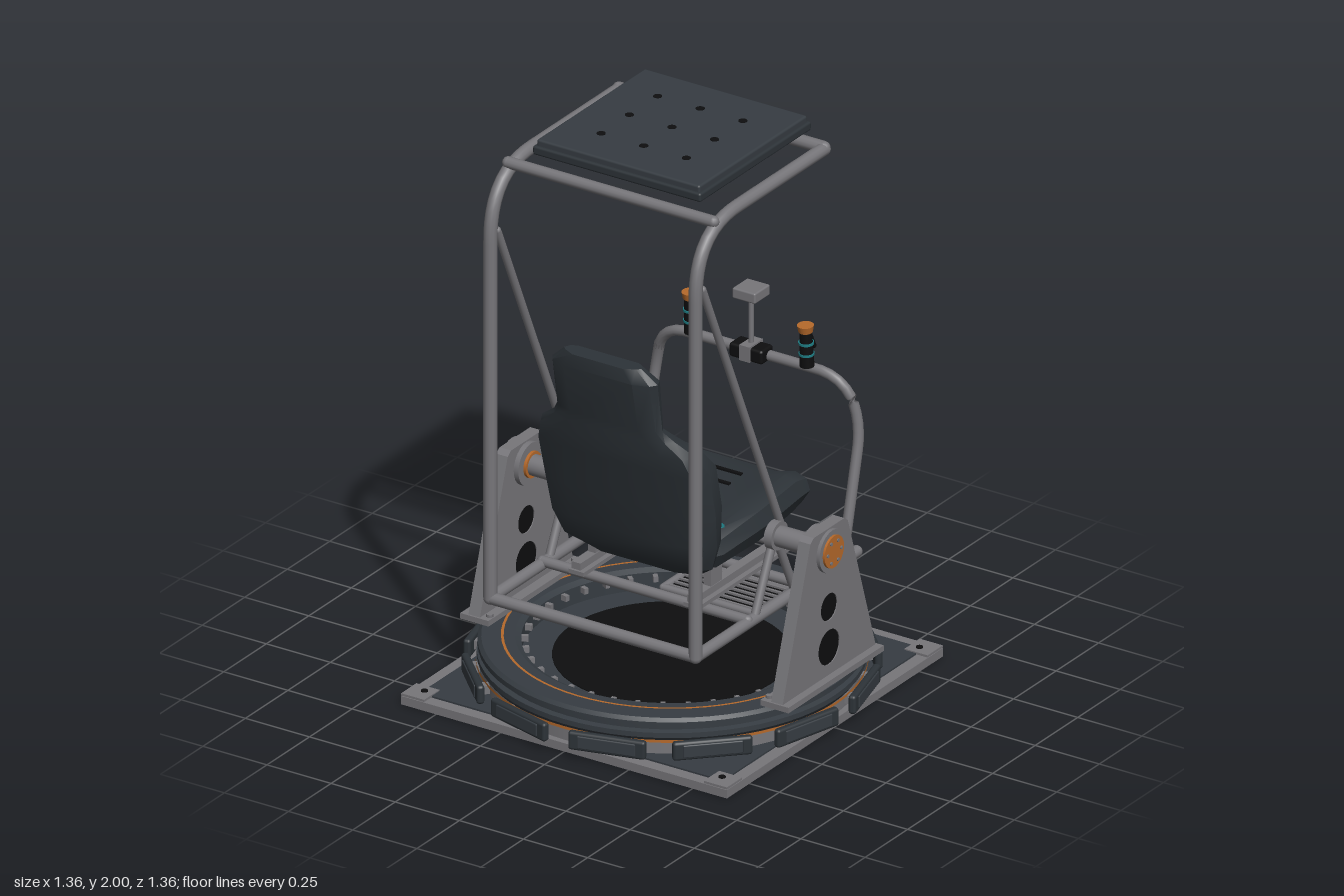
import * as THREE from 'three';
import { toCreasedNormals } from 'three/addons/utils/BufferGeometryUtils.js';
import { RoundedBoxGeometry } from 'three/addons/geometries/RoundedBoxGeometry.js';

const mat = (name, color) => Object.assign(new THREE.MeshStandardMaterial({ color }), { name });
const V = (x, y, z) => new THREE.Vector3(x, y, z);

export function createModel() {
  const steel = mat('steel grey', 0x77767a), dark = mat('dark slate', 0x363c42), seatM = mat('seat charcoal', 0x2d3338);
  const orange = mat('orange', 0xb5692b), teal = mat('teal', 0x1f7f86), black = mat('black', 0x0e0e0f);
  const root = new THREE.Group();
  root.name = 'motionSimulator';

  const add = (name, geo, m, x = 0, y = 0, z = 0, parent = root) => {
    const mesh = new THREE.Mesh(geo, m);
    mesh.name = name;
    mesh.position.set(x, y, z);
    parent.add(mesh);
    return mesh;
  };
  const box = (name, m, w, h, d, x, y, z) => add(name, new THREE.BoxGeometry(w, h, d), m, x, y, z);
  const rbox = (name, m, w, h, d, x, y, z, r = 0.01) => add(name, new RoundedBoxGeometry(w, h, d, 2, r), m, x, y, z);
  const cyl = (name, m, r, h, x, y, z, n = 24) => add(name, new THREE.CylinderGeometry(r, r, h, n), m, x, y, z);
  const cylX = (name, m, r, h, x, y, z) => { const c = cyl(name, m, r, h, x, y, z); c.rotation.z = Math.PI / 2; return c; };

  // Tube along a polyline with rounded corners and closed ends
  const tube = (name, pts, r, bend = 0, m = steel) => {
    const path = new THREE.CurvePath();
    let prev = pts[0];
    for (let i = 1; i < pts.length; i++) {
      const p = pts[i];
      if (i === pts.length - 1 || !bend) { path.add(new THREE.LineCurve3(prev, p)); prev = p; continue; }
      const a = p.clone().add(pts[i - 1].clone().sub(p).setLength(bend));
      const b = p.clone().add(pts[i + 1].clone().sub(p).setLength(bend));
      path.add(new THREE.LineCurve3(prev, a));
      path.add(new THREE.QuadraticBezierCurve3(a, p, b));
      prev = b;
    }
    add(name, new THREE.TubeGeometry(path, pts.length > 2 ? 60 : 1, r, 12), m);
    for (const p of [pts[0], pts[pts.length - 1]]) add(name + 'End', new THREE.SphereGeometry(r, 12, 8), m, p.x, p.y, p.z);
  };

  // Closed skin through equal-length cross-sections
  const loft = (rings) => {
    const n = rings[0].length, pos = [], idx = [];
    rings.forEach((r) => r.forEach((p) => pos.push(...p)));
    for (let i = 0; i < rings.length - 1; i++) for (let j = 0; j < n; j++) {
      const a = i * n + j, b = i * n + (j + 1) % n;
      idx.push(a, b, b + n, a, b + n, a + n);
    }
    const cap = (row, flip) => {
      const c = pos.length / 3, s = row * n;
      pos.push(...[0, 1, 2].map((k) => rings[row].reduce((t, p) => t + p[k], 0) / n));
      for (let j = 0; j < n; j++) { const a = s + j, b = s + (j + 1) % n; idx.push(c, flip ? b : a, flip ? a : b); }
    };
    cap(0, true);
    cap(rings.length - 1, false);
    const g = new THREE.BufferGeometry();
    g.setAttribute('position', new THREE.Float32BufferAttribute(pos, 3));
    g.setIndex(idx);
    g.computeVertexNormals();
    return toCreasedNormals(g, 0.6);
  };

  // Base plate with dark inlay, corner plates and bolts
  box('basePlate', steel, 1.27, 0.03, 1.27, 0, 0.016, 0);
  box('baseInlay', dark, 1.18, 0.006, 1.18, 0, 0.034, 0);
  box('baseUnderside', dark, 1.26, 0.003, 1.26, 0, 0.0015, 0);
  for (const x of [-1, 1]) for (const z of [-1, 1]) {
    box('cornerPlate', steel, 0.09, 0.008, 0.09, x * 0.59, 0.037, z * 0.59);
    cyl('cornerBolt', black, 0.012, 0.006, x * 0.58, 0.042, z * 0.58, 12);
  }
  rbox('controlBox', seatM, 0.11, 0.06, 0.07, -0.505, 0.065, -0.51, 0.008);
  box('controlBoxLight', teal, 0.05, 0.008, 0.012, -0.505, 0.08, -0.547);

  // Turntable ring with recessed floor
  cyl('drum', steel, 0.62, 0.05, 0, 0.06, 0, 72);
  const prof = [[0.49, 0.08], [0.62, 0.08], [0.635, 0.1], [0.635, 0.118], [0.615, 0.122], [0.615, 0.132], [0.632, 0.137],
    [0.632, 0.155], [0.62, 0.166], [0.51, 0.166], [0.49, 0.155], [0.49, 0.08]];
  add('turntableRing', toCreasedNormals(new THREE.LatheGeometry(prof.map((p) => new THREE.Vector2(...p)), 72), 0.5), dark);
  cyl('recessFloor', dark, 0.495, 0.01, 0, 0.09, 0, 48);
  cyl('recessCentre', black, 0.39, 0.008, 0, 0.094, 0, 48);
  add('topStripe', new THREE.RingGeometry(0.547, 0.556, 72), orange, 0, 0.168, 0).rotation.x = -Math.PI / 2;
  add('sideStripe', new THREE.CylinderGeometry(0.639, 0.639, 0.01, 72, 1, true), orange, 0, 0.09, 0);
  for (let i = 0; i < 36; i++) {
    const a = (i * Math.PI) / 18;
    box('ringTooth', steel, 0.016, 0.02, 0.03, Math.sin(a) * 0.482, 0.14, Math.cos(a) * 0.482).rotation.y = a;
  }
  // Bumper pads round the turntable
  for (let i = 0; i < 12; i++) {
    const a = ((i * 30 + 15) * Math.PI) / 180, pad = new THREE.Group();
    pad.name = 'bumperPad';
    pad.position.set(Math.sin(a) * 0.66, 0.072, Math.cos(a) * 0.66);
    pad.rotation.y = a;
    root.add(pad);
    add('padBody', new RoundedBoxGeometry(0.265, 0.066, 0.026, 2, 0.01), seatM, 0, 0, 0, pad);
    add('padFace', new RoundedBoxGeometry(0.2, 0.045, 0.01, 1, 0.004), dark, 0, 0, 0.012, pad);
    for (const s of [-1, 1]) add('padBracket', new THREE.BoxGeometry(0.03, 0.03, 0.03), steel, s * 0.08, 0, -0.022, pad);
  }

  // Side pedestals, hubs and axles
  const side = new THREE.Shape([[-0.275, 0.18], [0.275, 0.18], [0.11, 0.7], [0.09, 0.715], [-0.09, 0.715], [-0.11, 0.7]].map((p) => new THREE.Vector2(...p)));
  const holes = [[0.43, 0.048], [0.285, 0.062]];
  for (const [y, r] of holes) side.holes.push(new THREE.Path().absarc(0, y, r, 0, Math.PI * 2, true));
  for (const s of [-1, 1]) {
    const g = new THREE.ExtrudeGeometry(side, { depth: 0.045, bevelEnabled: false, curveSegments: 20 });
    g.translate(0, 0, -0.0225).rotateY(Math.PI / 2);
    add('pedestal', g, steel, s * 0.59, 0, 0);
    for (const [y, r] of holes) cylX('pedestalHole', black, r, 0.038, s * 0.59, y, 0);
    box('pedestalFoot', steel, 0.11, 0.02, 0.56, s * 0.585, 0.176, 0);
    for (const z of [-0.25, 0.25]) cyl('footBolt', steel, 0.012, 0.012, s * 0.545, 0.19, z, 6);
    cylX('bearing', steel, 0.075, 0.076, s * 0.587, 0.635, 0);
    cylX('hubCap', orange, 0.057, 0.014, s * 0.626, 0.635, 0);
    for (let i = 0; i < 6; i++) cylX('hubBolt', steel, 0.006, 0.006, s * 0.634, 0.635 + Math.sin(i * Math.PI / 3) * 0.04, Math.cos(i * Math.PI / 3) * 0.04);
    cylX('axleCollar', orange, 0.046, 0.012, s * 0.545, 0.635, 0);
    cylX('axle', steel, 0.036, 0.17, s * 0.475, 0.635, 0);
    cylX('axleFlange', steel, 0.05, 0.03, s * 0.405, 0.635, 0);

    // Cage side: floor rail, rear post, bend and roof rail
    tube('cageSide', [V(s * 0.4, 0.38, -0.48), V(s * 0.4, 0.38, 0.465)], 0.021);
    tube('cagePost', [V(s * 0.4, 0.38, 0.465), V(s * 0.4, 1.91, 0.465), V(s * 0.4, 1.91, -0.29)], 0.023, 0.24);
    tube('diagonalBrace', [V(s * 0.4, 1.69, 0.425), V(s * 0.4, 0.66, -0.035)], 0.014);
    tube('axleStrut', [V(s * 0.4, 0.64, 0), V(s * 0.4, 0.38, 0.12)], 0.015);
    tube('axleStrut', [V(s * 0.4, 0.64, 0), V(s * 0.4, 0.38, -0.12)], 0.015);
    tube('footrestTube', [V(s * 0.38, 0.37, -0.465), V(s * 0.18, 0.2, -0.44), V(s * 0.18, 0.2, -0.22)], 0.013, 0.03);

    // Seat rails, posts and feet
    box('seatRail', steel, 0.035, 0.025, 0.56, s * 0.225, 0.445, -0.055);
    box('seatRailBase', steel, 0.06, 0.014, 0.56, s * 0.225, 0.42, -0.055);
    for (const z of [-0.265, 0.1]) box('seatPost', steel, 0.03, 0.12, 0.065, s * 0.225, 0.5, z);

    // Joystick grip
    const stick = new THREE.Group();
    stick.name = 'joystick';
    stick.position.set(s * 0.225, 1.0, -0.455);
    stick.rotation.x = 0.06;
    root.add(stick);
    add('grip', new THREE.CylinderGeometry(0.021, 0.025, 0.13, 16), black, 0, 0.08, 0, stick);
    for (const y of [0.06, 0.1]) add('gripBand', new THREE.CylinderGeometry(0.026, 0.026, 0.008, 16), teal, 0, y, 0, stick);
    add('gripCap', new THREE.CylinderGeometry(0.028, 0.024, 0.024, 16), orange, 0, 0.153, 0, stick);
    add('trigger', new THREE.BoxGeometry(0.01, 0.06, 0.012), black, 0, 0.09, -0.036, stick).rotation.x = 0.4;
  }
  // Cage cross tubes
  for (const [y, z, r] of [[0.38, 0.465, 0.021], [0.38, -0.4, 0.019], [0.39, 0.16, 0.018], [0.39, -0.16, 0.018], [1.91, 0.36, 0.02], [1.915, -0.29, 0.022]])
    tube('crossTube', [V(-0.4, y, z), V(0.4, y, z)], r);
  // Control hoop in front of the driver
  tube('controlHoop', [V(0.4, 0.38, -0.4), V(0.4, 0.84, -0.51), V(0.35, 1.0, -0.475), V(-0.35, 1.0, -0.475), V(-0.4, 0.84, -0.51), V(-0.4, 0.38, -0.4)], 0.018, 0.1);
  rbox('consoleBox', black, 0.13, 0.05, 0.07, 0, 1.005, -0.465);
  box('consoleClamp', steel, 0.04, 0.055, 0.08, 0, 1.008, -0.465);
  cyl('screenStalk', steel, 0.009, 0.18, 0, 1.12, -0.465, 10);
  rbox('screenHead', steel, 0.09, 0.038, 0.09, 0, 1.218, -0.465, 0.006);

  // Slatted footrest
  tube('footrestFront', [V(-0.18, 0.2, -0.44), V(0.18, 0.2, -0.44)], 0.013);
  tube('footrestRear', [V(-0.18, 0.2, -0.22), V(0.18, 0.2, -0.22)], 0.013);
  box('footPlate', black, 0.35, 0.008, 0.22, 0, 0.196, -0.33);
  for (let i = 0; i < 7; i++) box('footSlat', steel, 0.35, 0.008, 0.009, 0, 0.203, -0.42 + i * 0.03);

  // Roof panel with nine dark studs
  box('roofTray', steel, 0.6, 0.012, 0.6, 0, 1.938, 0);
  rbox('roofLip', seatM, 0.655, 0.032, 0.655, 0, 1.96, 0, 0.008);
  rbox('roofPanel', dark, 0.635, 0.03, 0.635, 0, 1.983, 0, 0.008);
  for (const x of [-1, 0, 1]) for (const z of [-1, 0, 1]) cyl('roofStud', black, 0.015, 0.004, x * 0.166, 1.998, z * 0.166, 16);

  // Seat back and headrest: height, front z, rear z, half width, hollow
  const back = [[0.51, 0.14, 0.2, 0.22, 0], [0.56, 0.15, 0.25, 0.29, 0.02], [0.65, 0.155, 0.28, 0.32, 0.03], [0.78, 0.155, 0.312, 0.325, 0.035],
    [0.94, 0.19, 0.355, 0.325, 0.035], [1.01, 0.245, 0.375, 0.3, 0.03], [1.06, 0.29, 0.387, 0.235, 0.02], [1.1, 0.33, 0.4, 0.205, 0.005],
    [1.28, 0.35, 0.438, 0.205, 0.01], [1.33, 0.375, 0.44, 0.15, 0]];
  add('seatBack', loft(back.map(([y, f, b, w, h]) => {
    const half = [[0.65, b], [0.92, b - 0.02], [1, (f + b) / 2], [0.94, f + 0.012], [0.8, f], [0.6, f + h]];
    return [...half.map(([x, z]) => [x * w, y, z]), ...half.reverse().map(([x, z]) => [-x * w, y, z])];
  })), seatM);
  // Seat cushion: z, top, bottom, half width
  const cushion = [[0.2, 0.61, 0.525, 0.22], [0.12, 0.64, 0.515, 0.28], [-0.1, 0.67, 0.525, 0.3], [-0.3, 0.688, 0.55, 0.3], [-0.375, 0.668, 0.558, 0.29], [-0.4, 0.6, 0.57, 0.25]];
  add('seatCushion', loft(cushion.map(([z, t, b, w]) => {
    const half = [[0.55, t - 0.02], [0.8, t], [0.95, t - 0.015], [1, (t + b) / 2], [0.9, b + 0.01], [0.6, b]];
    return [...half.map(([x, y]) => [x * w, y, z]), ...half.reverse().map(([x, y]) => [-x * w, y, z])];
  })), seatM);
  const pad = rbox('headrestPad', dark, 0.27, 0.15, 0.02, 0, 1.19, 0.348, 0.008);
  pad.rotation.x = 0.11;
  for (const [y, z] of [[0.72, 0.186], [0.79, 0.189], [0.86, 0.206], [0.93, 0.221]]) box('backSlot', black, 0.12, 0.012, 0.008, 0, y, z);
  for (const z of [-0.12, -0.19, -0.26]) box('cushionSlot', black, 0.2, 0.006, 0.014, 0, 0.654 - (z + 0.12) * 0.09, z);

  // Harness straps as flat segments
  const strap = (pts, w) => {
    for (let i = 0; i < pts.length - 1; i++) {
      const mid = pts[i].clone().lerp(pts[i + 1], 0.5);
      const m = box('harnessStrap', teal, w, 0.009, pts[i].distanceTo(pts[i + 1]) + 0.006, mid.x, mid.y, mid.z);
      m.lookAt(pts[i + 1]);
    }
  };
  for (const s of [-1, 1]) {
    strap([V(s * 0.085, 1.09, 0.32), V(s * 0.09, 1.01, 0.27), V(s * 0.1, 0.94, 0.22), V(s * 0.1, 0.78, 0.184), V(s * 0.09, 0.67, 0.175)], 0.036);
    strap([V(s * 0.27, 0.68, 0.13), V(s * 0.15, 0.67, 0.06), V(0, 0.665, 0)], 0.036);
    box('strapAdjuster', teal, 0.06, 0.035, 0.014, s * 0.1, 0.86, 0.198);
  }
  strap([V(0, 0.66, 0), V(0, 0.66, -0.1)], 0.03);
  rbox('harnessBuckle', orange, 0.05, 0.016, 0.05, 0, 0.668, 0, 0.006);
  return root;
}
